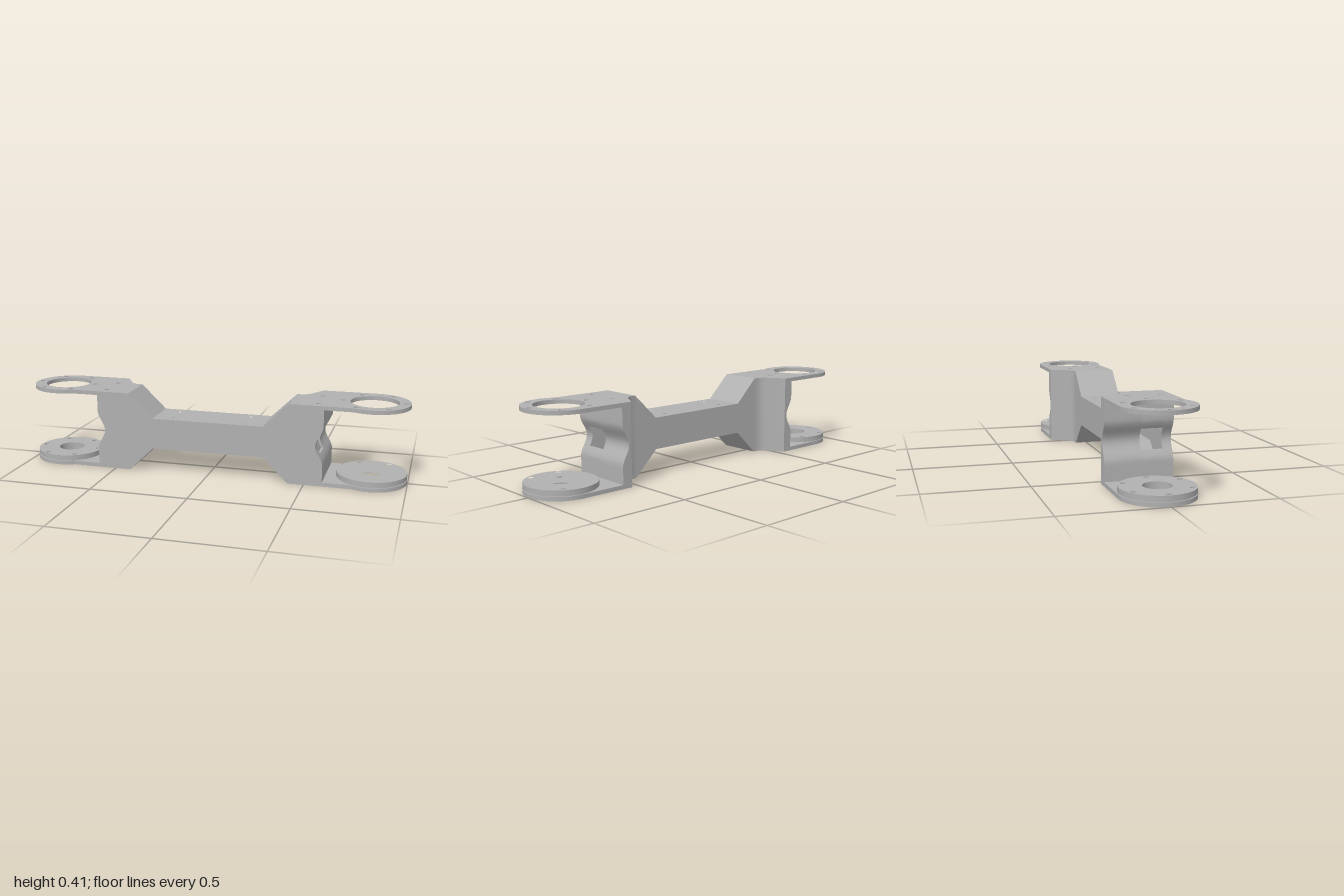
import * as THREE from 'three';
import { toCreasedNormals } from 'three/addons/utils/BufferGeometryUtils.js';

const HUB = 0.82, R = 0.178, FRONT = 0.157, BACK = -0.06, FLARE = -0.177;
const H = 0.41, T = 0.02, WALL = 0.012;
const KNEE = 0.42, WAIST = 0.29;         // x of the bends in the skin
const WAIST_TOP = 0.285, WAIST_IN = 0.268;

const circle = (cx, cz, r, n = 40) => Array.from({ length: n }, (_, i) => {
  const a = (i / n) * Math.PI * 2;
  return [cx + r * Math.cos(a), cz + r * Math.sin(a)];
});

// Inward bow of the end walls, x as a function of y
function endX(y) {
  const d = Math.abs(y - H / 2) / 0.1;
  return d >= 1 ? 0.592 : 0.592 - 0.019 * (1 + Math.cos(Math.PI * d));
}
function endCurve(y0, y1, offset = 0) {
  const n = 24;
  return Array.from({ length: n + 1 }, (_, i) => {
    const y = y0 + ((y1 - y0) * i) / n;
    return [endX(y) + offset, y];
  });
}

export function createModel() {
  const group = new THREE.Group();
  const metal = new THREE.MeshStandardMaterial({ color: 0xb0b0b0 });
  metal.name = 'brushed metal';

  function extrude(name, points, holes, depth, place) {
    const toV = (p) => new THREE.Vector2(p[0], p[1]);
    const shape = new THREE.Shape(points.map(toV));
    holes.forEach((h) => shape.holes.push(new THREE.Path(h.map(toV))));
    const geo = new THREE.ExtrudeGeometry(shape, { depth, bevelEnabled: false });
    place(geo);
    const mesh = new THREE.Mesh(toCreasedNormals(geo, 0.6), metal);
    mesh.name = name;
    group.add(mesh);
  }
  // Plan outline (x, z) raised from y0 to y1
  function plan(name, points, holes, y0, y1) {
    const flip = (ps) => ps.map(([x, z]) => [x, -z]);
    extrude(name, flip(points), holes.map(flip), y1 - y0,
      (g) => g.rotateX(-Math.PI / 2).translate(0, y0, 0));
  }
  // Front outline (x, y) extended from z0 to z1
  function elevation(name, points, z0, z1) {
    extrude(name, points, [], z1 - z0, (g) => g.translate(0, 0, z0));
  }

  // Waist panels with small fixing holes
  const waist = [[-WAIST, BACK], [WAIST, BACK], [WAIST, FRONT], [-WAIST, FRONT]];
  const pins = [-0.195, 0.19].flatMap((x) => [-0.01, 0.105].map((z) => circle(x, z, 0.008, 12)));
  plan('topWaistPanel', waist, pins, WAIST_IN, WAIST_TOP);
  plan('bottomWaistPanel', waist, pins, H - WAIST_TOP, H - WAIST_IN);

  // Front wall, with bowed ends, and the narrow part of the back wall
  const edge = endCurve(T, H - T);
  const mirror = (ps) => ps.map(([x, y]) => [-x, y]).reverse();
  const low = [[-KNEE, T], [-WAIST, H - WAIST_IN], [WAIST, H - WAIST_IN], [KNEE, T]];
  const high = [[KNEE, H - T], [WAIST, WAIST_IN], [-WAIST, WAIST_IN], [-KNEE, H - T]];
  elevation('frontWall', [...low, ...edge, ...high, ...mirror(edge)], FRONT - WALL, FRONT);
  elevation('backWall', [...low, ...high], BACK, BACK + WALL);

  for (const s of [1, -1]) {
    const side = s > 0 ? 'left' : 'right';
    const sx = (ps) => ps.map(([a, b]) => [s * a, b]);

    // Sloping skin between waist and end plates
    const slope = [[KNEE, H], [WAIST, WAIST_TOP], [WAIST, WAIST_IN], [KNEE, H - T]];
    elevation(side + 'TopSlope', sx(slope), BACK, FRONT);
    elevation(side + 'BottomSlope', sx(slope).map(([x, y]) => [x, H - y]), BACK, FRONT);

    // End plates: rounded outline, bearing opening and bolt holes
    const outline = [[KNEE, FRONT]];
    const a0 = Math.PI - Math.asin(FRONT / R);
    for (let i = 0; i <= 44; i++) {
      const a = a0 + ((-Math.PI / 2 - a0) * i) / 44;
      outline.push([HUB + R * Math.cos(a), R * Math.sin(a)]);
    }
    outline.push([0.54, -R], [0.485, -0.085], [0.465, -0.067], [0.445, -0.061], [KNEE, BACK]);
    const ring = Array.from({ length: 6 }, (_, i) => {
      const a = (i * Math.PI) / 3;
      return circle(HUB + 0.155 * Math.cos(a), 0.155 * Math.sin(a), 0.013, 14);
    });
    const plateHoles = [circle(HUB, 0, 0.12), ...ring,
      circle(0.555, -0.055, 0.012, 14), circle(0.555, 0.105, 0.012, 14)].map(sx);
    plan(side + 'TopPlate', sx(outline), plateHoles, H - T, H);
    plan(side + 'BottomPlate', sx(outline), plateHoles, 0, T);

    // Bearing flange on the bottom plate
    const bore = circle(HUB, 0, 0.068);
    const bolts = ring.map(sx);
    plan(side + 'FlangeStep', sx(circle(HUB, 0, 0.171, 48)), [sx(bore), ...bolts], T, 0.024);
    plan(side + 'Flange', sx(circle(HUB, 0, 0.177, 48)), [sx(bore), ...bolts], 0.024, 0.05);
    plan(side + 'FlangeCollar', sx(circle(HUB, 0, 0.085)), [sx(bore)], 0.006, T);

    // Flared back wall, then its flat end with the bowed edge
    const flare = [[KNEE, BACK], [0.445, -0.061], [0.465, -0.067], [0.485, -0.085], [0.54, FLARE]];
    const inner = flare.map(([x, z], i) => [x + (i > 1 ? 0.01 : 0), z + (i < 4 ? WALL : 0.006)]);
    plan(side + 'BackFlare', sx([...flare, ...inner.reverse()]), [], T, H - T);
    elevation(side + 'BackEnd', sx([[0.54, T], ...edge, [0.54, H - T]]), FLARE, FLARE + WALL);

    // Bowed end wall built around a square cable opening
    const strip = (y0, y1, z0, z1) => elevation(side + 'EndWall',
      sx([...endCurve(y0, y1), ...endCurve(y0, y1, -WALL).reverse()]), z0, z1);
    const z0 = FLARE + WALL, z1 = FRONT - WALL;
    strip(T, H - T, z0, 0.003);
    strip(T, H - T, 0.11, z1);
    strip(T, 0.155, 0.003, 0.11);
    strip(0.257, H - T, 0.003, 0.11);
  }
  return group;
}
